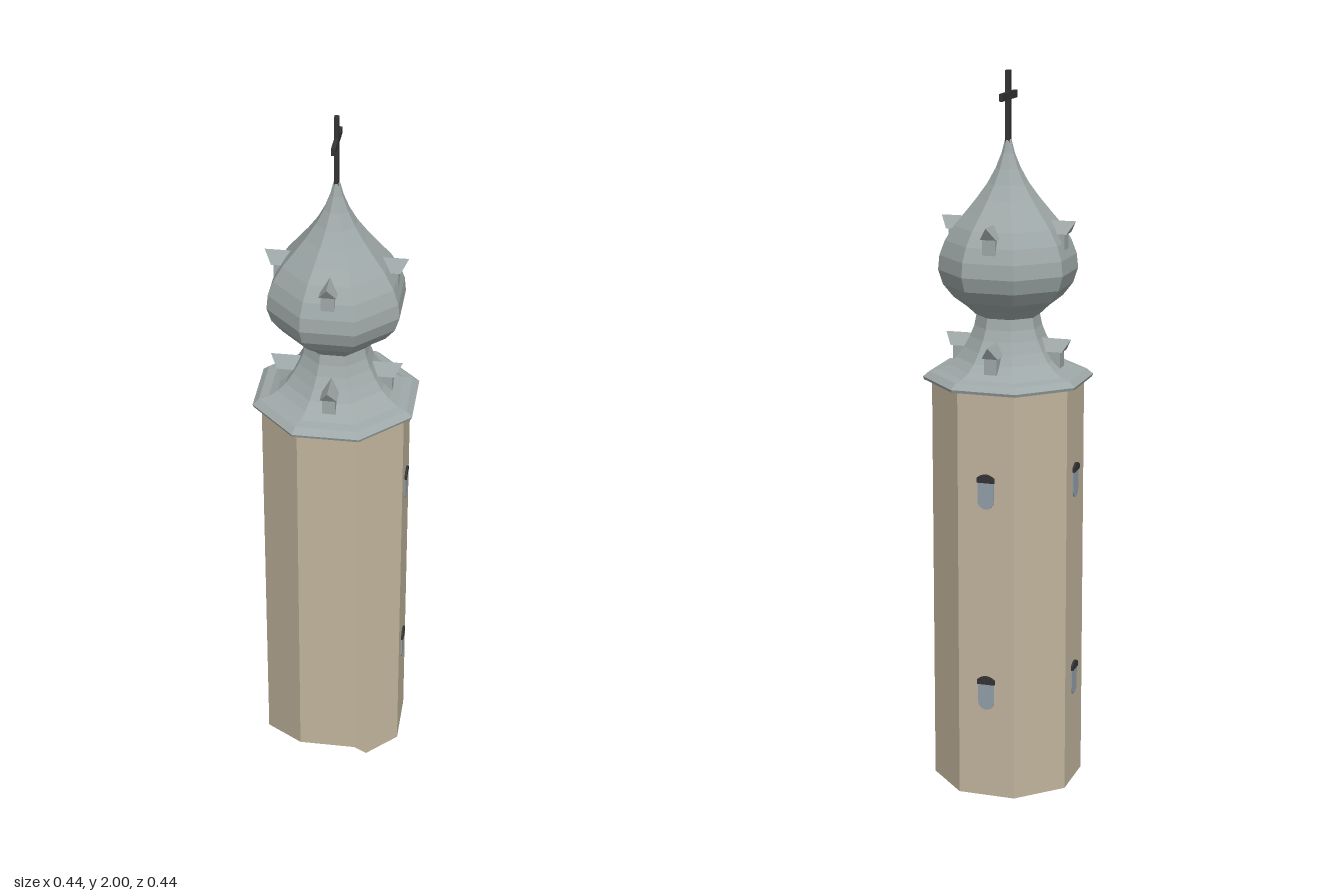
import * as THREE from 'three';
import { ConvexGeometry } from 'three/addons/geometries/ConvexGeometry.js';

const material = (name, color, side = THREE.FrontSide) => {
  const m = new THREE.MeshStandardMaterial({ color, side });
  m.name = name;
  return m;
};

// Separate the faces so that every facet is flat
const faceted = (geometry) => {
  const g = geometry.index ? geometry.toNonIndexed() : geometry;
  g.computeVertexNormals();
  return g;
};

export function createModel() {
  const plaster = material('plaster', 0xc2b59d, THREE.DoubleSide);
  const slate = material('slate', 0x9fa8a8);
  const iron = material('dark iron', 0x333436);
  const glass = material('window glass', 0x939fa8);

  const model = new THREE.Group();
  model.name = 'bellTower';
  const tower = new THREE.Group();
  tower.name = 'tower';
  tower.rotation.y = THREE.MathUtils.degToRad(3.4);
  model.add(tower);

  const add = (parent, name, geometry, mat, x = 0, y = 0, z = 0) => {
    const mesh = new THREE.Mesh(geometry, mat);
    mesh.name = name;
    mesh.position.set(x, y, z);
    parent.add(mesh);
    return mesh;
  };

  // Octagonal shaft, open below, with the front foot cut away
  const R = 0.21, H = 1.165;
  const columns = [];
  for (let i = 0; i <= 8; i++) {
    const a = Math.PI / 8 + (i * Math.PI) / 4;
    columns.push([R * Math.sin(a), i === 0 || i === 7 || i === 8 ? 0.048 : 0, R * Math.cos(a)]);
  }
  const [c0, c1] = columns;
  columns.splice(1, 0, [c0[0] + (c1[0] - c0[0]) * 0.27, 0, c0[2] + (c1[2] - c0[2]) * 0.27]);
  const wall = [];
  for (let i = 0; i < columns.length - 1; i++) {
    const [a, b] = [columns[i], columns[i + 1]];
    const [at, bt] = [[a[0], H, a[2]], [b[0], H, b[2]]];
    wall.push(...a, ...b, ...bt, ...a, ...bt, ...at);
  }
  const wallGeometry = new THREE.BufferGeometry();
  wallGeometry.setAttribute('position', new THREE.Float32BufferAttribute(wall, 3));
  add(tower, 'shaft', faceted(wallGeometry), plaster);

  // Eight-sided roofs turned from profiles
  const turned = (name, profile) => {
    const points = profile.map(([r, y]) => new THREE.Vector2(r, y));
    add(tower, name, faceted(new THREE.LatheGeometry(points, 8, Math.PI / 8)), slate);
  };
  turned('flaredRoof', [
    [0.2, 1.158], [0.232, 1.16], [0.235, 1.168], [0.217, 1.183], [0.19, 1.188], [0.165, 1.202],
    [0.142, 1.222], [0.122, 1.25], [0.105, 1.28], [0.093, 1.31], [0.086, 1.345],
  ]);
  turned('onionDome', [
    [0.07, 1.338], [0.088, 1.34], [0.112, 1.362], [0.15, 1.39], [0.178, 1.425], [0.191, 1.465],
    [0.187, 1.505], [0.172, 1.545], [0.147, 1.585], [0.116, 1.622], [0.085, 1.66],
    [0.056, 1.7], [0.034, 1.74], [0.018, 1.78], [0.009, 1.815], [0, 1.82],
  ]);

  // Gabled dormers on the four main sides, facing outward
  const dormer = (name, tip, peak, side) => {
    const g = new THREE.Group();
    g.name = name;
    g.rotation.y = (side * Math.PI) / 2;
    add(g, 'dormerBody', new THREE.BoxGeometry(0.036, 0.046, 0.085), slate, 0, peak - 0.056, tip - 0.0685);
    const roof = [new THREE.Vector3(0, peak, tip), new THREE.Vector3(0, peak, tip - 0.085)];
    for (const x of [-0.023, 0.023]) {
      for (const z of [0.02, 0.068]) roof.push(new THREE.Vector3(x, peak - 0.034, tip - z));
    }
    add(g, 'dormerRoof', new ConvexGeometry(roof), slate);
    tower.add(g);
  };
  for (let side = 0; side < 4; side++) {
    dormer('upperDormer', 0.191, 1.604, side);
    dormer('lowerDormer', 0.18, 1.28, side);
  }

  // Round-footed windows with dark heads on three sides
  const pane = new THREE.Shape();
  pane.moveTo(0.023, 0.03).lineTo(-0.023, 0.03).lineTo(-0.023, -0.03);
  pane.absarc(0, -0.03, 0.023, Math.PI, 2 * Math.PI, false);
  const head = new THREE.Shape();
  head.moveTo(-0.025, 0.022);
  head.lineTo(0.025, 0.022).lineTo(0.025, 0.035);
  head.quadraticCurveTo(0, 0.056, -0.025, 0.035);
  const plate = (shape, depth) =>
    new THREE.ExtrudeGeometry(shape, { depth, bevelEnabled: false, curveSegments: 8 });
  const paneGeometry = plate(pane, 0.003), headGeometry = plate(head, 0.006);
  const apothem = R * Math.cos(Math.PI / 8);
  for (const side of [1, 2, 3]) {
    for (const y of [0.31, 0.89]) {
      const g = new THREE.Group();
      g.name = 'window';
      g.rotation.y = (side * Math.PI) / 2;
      add(g, 'windowPane', paneGeometry, glass, 0, y, apothem);
      add(g, 'windowHead', headGeometry, iron, 0, y, apothem);
      tower.add(g);
    }
  }

  // Cross on the spire
  add(tower, 'crossPost', new THREE.BoxGeometry(0.012, 0.2, 0.017), iron, 0, 1.9, 0);
  add(tower, 'crossBar', new THREE.BoxGeometry(0.011, 0.02, 0.126), iron, 0, 1.932, 0);

  return model;
}
